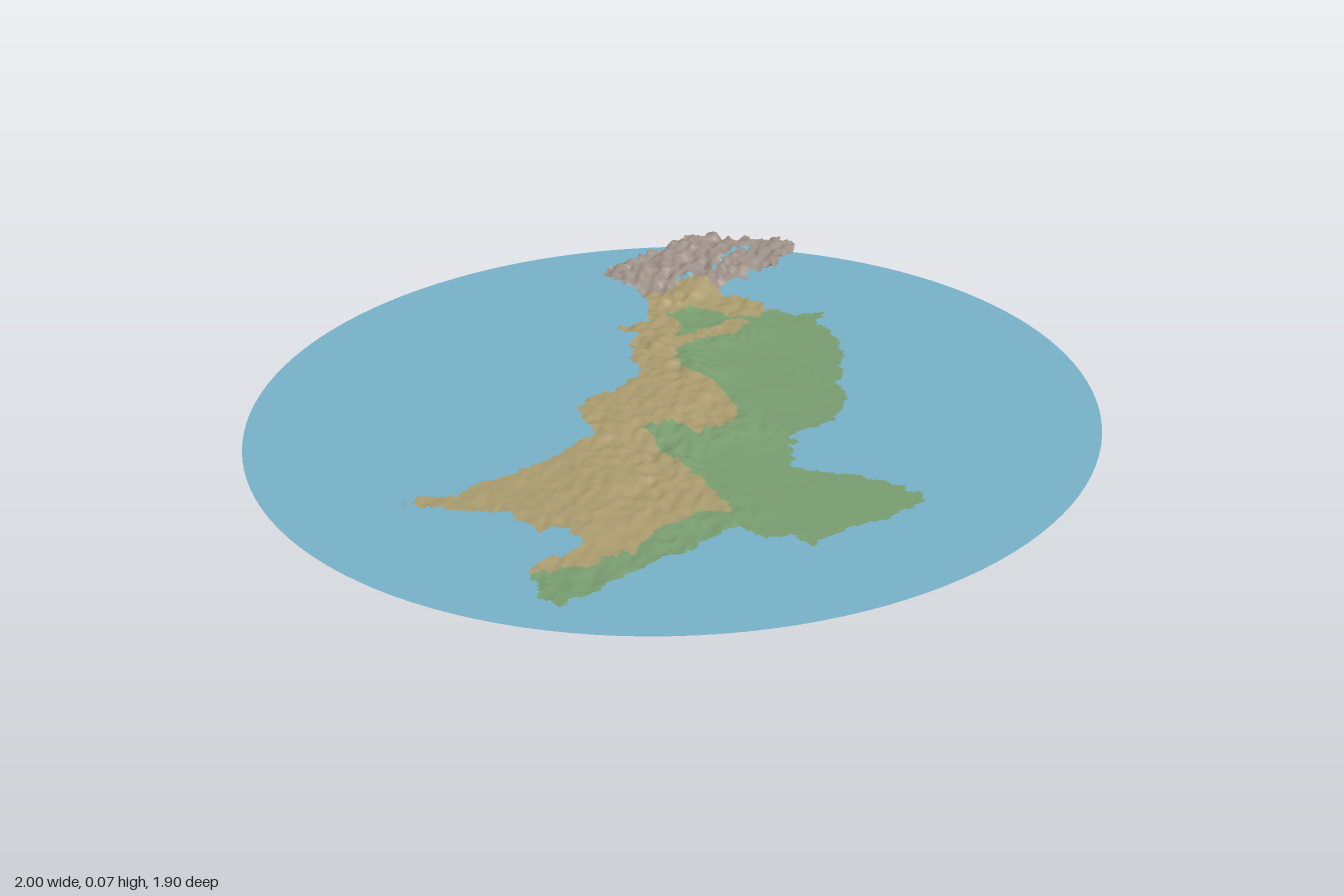
import * as THREE from 'three';

// Map curves in hundredths of a unit, as x, z pairs
const COAST = [
  -76, 7, -69, 8, -64, 11, -56, 10, -44, 9, -26, 6, -25, -1, -22, -7, -19, -10, -10, -9, -7, -12, 2, -15,
  3, -23, 6, -29, 12, -32, 8, -36, 9, -39, 18, -38, 21, -42, 24, -46, 25, -53, 21, -62, 25, -69, 35, -70,
  55, -72, 63, -69, 66, -61, 73, -58, 75, -51, 72, -48, 63, -45, 57, -46, 49, -46, 44, -44, 46, -40, 49, -38,
  48, -30, 51, -29, 52, -23, 60, -20, 55, -17, 52, -5, 47, 3, 38, 13, 34, 21, 27, 27, 15, 28, 9, 32,
  5, 39, 6, 44, 12, 50, 17, 56, 19, 67, 9, 68, -3, 67, -13, 69, -14, 63, -20, 61, -21, 54, -32, 55,
  -58, 57, -69, 59, -68, 51, -66, 45, -61, 43, -55, 43, -52, 41, -52, 35, -58, 34, -58, 23, -65, 20, -70, 13,
];
const PLAINS = [
  -72, 65, -72, 45, -62, 47, -55, 49, -45, 50, -35, 46, -30, 47, -25, 45, -19, 48, -16, 35, -17, 20, -14, 9,
  -8, 8, -5, 15, 2, 17, 8, 13, 12, 3, 13, -4, 10, -10, 12, -18, 16, -23, 26, -24, 34, -22, 40, -26,
  38, -30, 30, -28, 20, -27, 24, -34, 26, -41, 33, -42, 36, -36, 42, -28, 52, -29, 70, -20, 60, 10, 30, 40,
  30, 75, -20, 75,
];
const PEAKS = [15, -80, 20, -58, 25, -53, 32, -50, 37, -53, 43, -50, 44, -42, 80, -40, 80, -80];

// Height controls: x, z, height, ruggedness
const RELIEF = [
  [0.4, -0.1, 0.006, 0], [0.2, 0.15, 0.005, 0], [0.28, -0.12, 0.006, 0], [0.47, -0.24, 0.008, 0],
  [0, 0.4, 0.003, 0], [0.02, 0.6, 0.003, 0], [-0.1, 0.3, 0.004, 0], [0.3, -0.36, 0.011, 0.002],
  [-0.65, 0.55, 0.004, 0.003], [-0.4, 0.53, 0.005, 0.003], [0.22, 0, 0.005, 0], [0.33, -0.24, 0.011, 0.004],
  [-0.72, 0.08, 0.014, 0.003], [-0.5, 0.15, 0.014, 0.003], [-0.5, 0.3, 0.015, 0.004],
  [-0.3, 0.2, 0.021, 0.004], [-0.3, 0.4, 0.013, 0.005], [-0.18, 0.25, 0.015, 0.009],
  [-0.18, 0, 0.028, 0.005], [0, 0, 0.026, 0.005], [0.04, 0.12, 0.014, 0.006], [0.08, -0.1, 0.025, 0.006],
  [0.1, -0.3, 0.026, 0.008], [0.2, -0.37, 0.022, 0.007], [0.3, -0.48, 0.024, 0.01],
  [0.46, -0.37, 0.014, 0.006], [0.26, -0.64, 0.046, 0.013], [0.5, -0.68, 0.052, 0.013],
  [0.44, -0.55, 0.042, 0.014], [0.72, -0.52, 0.056, 0.009], [0.6, -0.6, 0.052, 0.012],
];

const hash = (i, j) => {
  const s = Math.sin(i * 127.1 + j * 311.7) * 43758.5453;
  return s - Math.floor(s);
};

// Smooth value noise, 0 to 1
function noise(x, z) {
  const i = Math.floor(x), j = Math.floor(z);
  const u = THREE.MathUtils.smoothstep(x - i, 0, 1), v = THREE.MathUtils.smoothstep(z - j, 0, 1);
  const { lerp } = THREE.MathUtils;
  return lerp(lerp(hash(i, j), hash(i + 1, j), u), lerp(hash(i, j + 1), hash(i + 1, j + 1), u), v);
}

function inside(poly, x, z) {
  let hit = false;
  for (let i = 0, j = poly.length - 2; i < poly.length; j = i, i += 2) {
    const ax = poly[i] / 100, az = poly[i + 1] / 100, bx = poly[j] / 100, bz = poly[j + 1] / 100;
    if (az > z !== bz > z && x < ((bx - ax) * (z - az)) / (bz - az) + ax) hit = !hit;
  }
  return hit;
}

// Broad height from the controls plus diagonal ridges
function height(x, z) {
  let sum = 0, h = 0, rough = 0;
  for (const [cx, cz, ch, cr] of RELIEF) {
    const w = 1 / ((x - cx) ** 2 + (z - cz) ** 2 + 0.0006) ** 2;
    sum += w;
    h += w * ch;
    rough += w * cr;
  }
  const along = x - z, across = x + z;
  const ridge = 1 - Math.abs(2 * noise(along * 14 + 9, across * 34) - 1);
  const crag = noise(along * 35, across * 75) - 0.5;
  return Math.max(0.002, (h + rough * (1.5 * (ridge - 0.5) + 1.1 * crag)) / sum);
}

// Land sheet on a fine grid, with cells sorted by the kind of ground
function landGeometry(step) {
  const position = [], ids = new Map(), cells = [[], [], [], []];
  const vertex = (i, j) => {
    const key = i * 1000 + j;
    if (!ids.has(key)) {
      ids.set(key, position.length / 3);
      const x = i * step - 0.8, z = j * step - 0.76;
      position.push(x, height(x, z), z);
    }
    return ids.get(key);
  };
  for (let i = 0; i * step < 1.6; i++) {
    for (let j = 0; j * step < 1.5; j++) {
      const x = (i + 0.5) * step - 0.8, z = (j + 0.5) * step - 0.76;
      // Small wobble makes the borders ragged
      const wx = x + (noise(x * 45, z * 45) - 0.5) * 0.025;
      const wz = z + (noise(x * 45 + 70, z * 45) - 0.5) * 0.025;
      if (!inside(COAST, wx, wz)) continue;
      let kind = inside(PEAKS, wx, wz) ? 2 : inside(PLAINS, wx, wz) ? 0 : 1;
      // Broken river in the high valleys
      const valley = -0.55 + 0.03 * Math.sin(x * 18);
      if (kind === 2 && x > 0.34 && x < 0.64 && Math.abs(z - valley) < 0.007 && noise(x * 40, 3) > 0.5) kind = 3;
      const a = vertex(i, j), b = vertex(i, j + 1), c = vertex(i + 1, j + 1), d = vertex(i + 1, j);
      cells[kind].push(a, b, c, a, c, d);
    }
  }
  const geo = new THREE.BufferGeometry();
  geo.setAttribute('position', new THREE.Float32BufferAttribute(position, 3));
  geo.setIndex(cells.flat());
  let start = 0;
  cells.forEach((list, k) => {
    geo.addGroup(start, list.length, k);
    start += list.length;
  });
  geo.computeVertexNormals();
  return geo;
}

function material(name, color) {
  const m = new THREE.MeshStandardMaterial({ color, side: THREE.DoubleSide });
  m.name = name;
  return m;
}

export function createModel() {
  const model = new THREE.Group();
  model.name = 'reliefMap';
  const water = material('water blue', 0x76b1c8);
  const ground = [
    material('plain green', 0x789c6f),
    material('upland tan', 0xa99a6d),
    material('mountain grey', 0x9d9087),
    water,
  ];

  // Thin oval sea
  const sea = new THREE.Mesh(new THREE.CircleGeometry(1, 128).rotateX(-Math.PI / 2).scale(1, 1, 0.95), water);
  sea.name = 'sea';
  model.add(sea);

  // Raised land
  const land = new THREE.Mesh(landGeometry(0.007), ground);
  land.name = 'land';
  model.add(land);
  return model;
}
